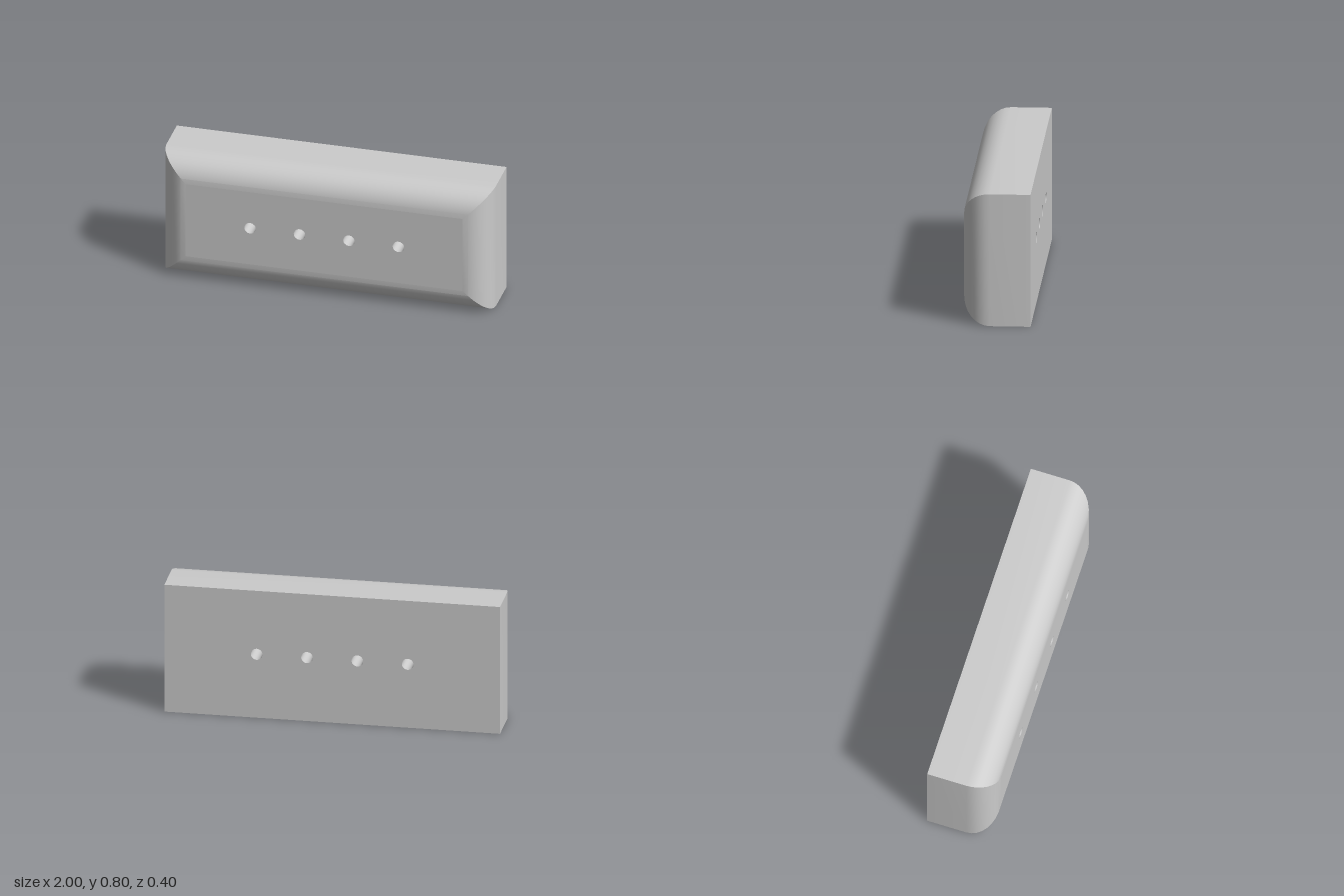
import * as THREE from 'three';
import { toCreasedNormals } from 'three/addons/utils/BufferGeometryUtils.js';

const W = 1, H = 0.8, D = 0.2, R = 0.16; // half width, height, half depth, edge radius
const HOLE_R = 0.035, HOLE_X = [-0.45, -0.15, 0.15, 0.45];

// Rectangle inset by d, pierced by the row of holes
function plate(d) {
  const x = W - d, shape = new THREE.Shape();
  shape.moveTo(-x, d).lineTo(x, d).lineTo(x, H - d).lineTo(-x, H - d).closePath();
  for (const hx of HOLE_X) {
    shape.holes.push(new THREE.Path().absarc(hx, H / 2, HOLE_R, 0, Math.PI * 2, true));
  }
  return new THREE.ShapeGeometry(shape, 16);
}

// Four sides as stacked rectangular rings: straight, then rounded to the front with mitred corners
function shell(steps = 8) {
  const rings = [[0, -D]];
  for (let i = 0; i <= steps; i++) {
    const a = (i / steps) * Math.PI / 2;
    rings.push([R * (1 - Math.cos(a)), D - R + R * Math.sin(a)]);
  }
  const positions = [], index = [];
  for (const [d, z] of rings) {
    positions.push(-W + d, d, z, W - d, d, z, W - d, H - d, z, -W + d, H - d, z);
  }
  for (let r = 0; r < rings.length - 1; r++) {
    for (let k = 0; k < 4; k++) {
      const a = r * 4 + k, b = r * 4 + (k + 1) % 4;
      index.push(a, b, b + 4, a, b + 4, a + 4);
    }
  }
  const geometry = new THREE.BufferGeometry();
  geometry.setAttribute('position', new THREE.Float32BufferAttribute(positions, 3));
  geometry.setIndex(index);
  return toCreasedNormals(geometry, 0.3);
}

export function createModel() {
  const group = new THREE.Group();
  group.name = 'roundedBlock';
  const grey = new THREE.MeshStandardMaterial({ color: 0xcccccc });
  const wall = new THREE.MeshStandardMaterial({ color: 0xcccccc, side: THREE.DoubleSide });
  const add = (name, geometry, material = grey) => {
    const mesh = new THREE.Mesh(geometry, material);
    mesh.name = name;
    group.add(mesh);
    return mesh;
  };

  add('roundedSides', shell());
  add('frontFace', plate(R)).position.z = D;

  // The back face is the full plate, turned round
  const back = add('backFace', plate(0));
  back.rotation.y = Math.PI;
  back.position.z = -D;

  // Walls of the through holes
  const bore = new THREE.CylinderGeometry(HOLE_R, HOLE_R, 2 * D, 32, 1, true).rotateX(Math.PI / 2);
  HOLE_X.forEach((x, i) => add(`hole${i + 1}`, bore, wall).position.set(x, H / 2, 0));

  return group;
}
